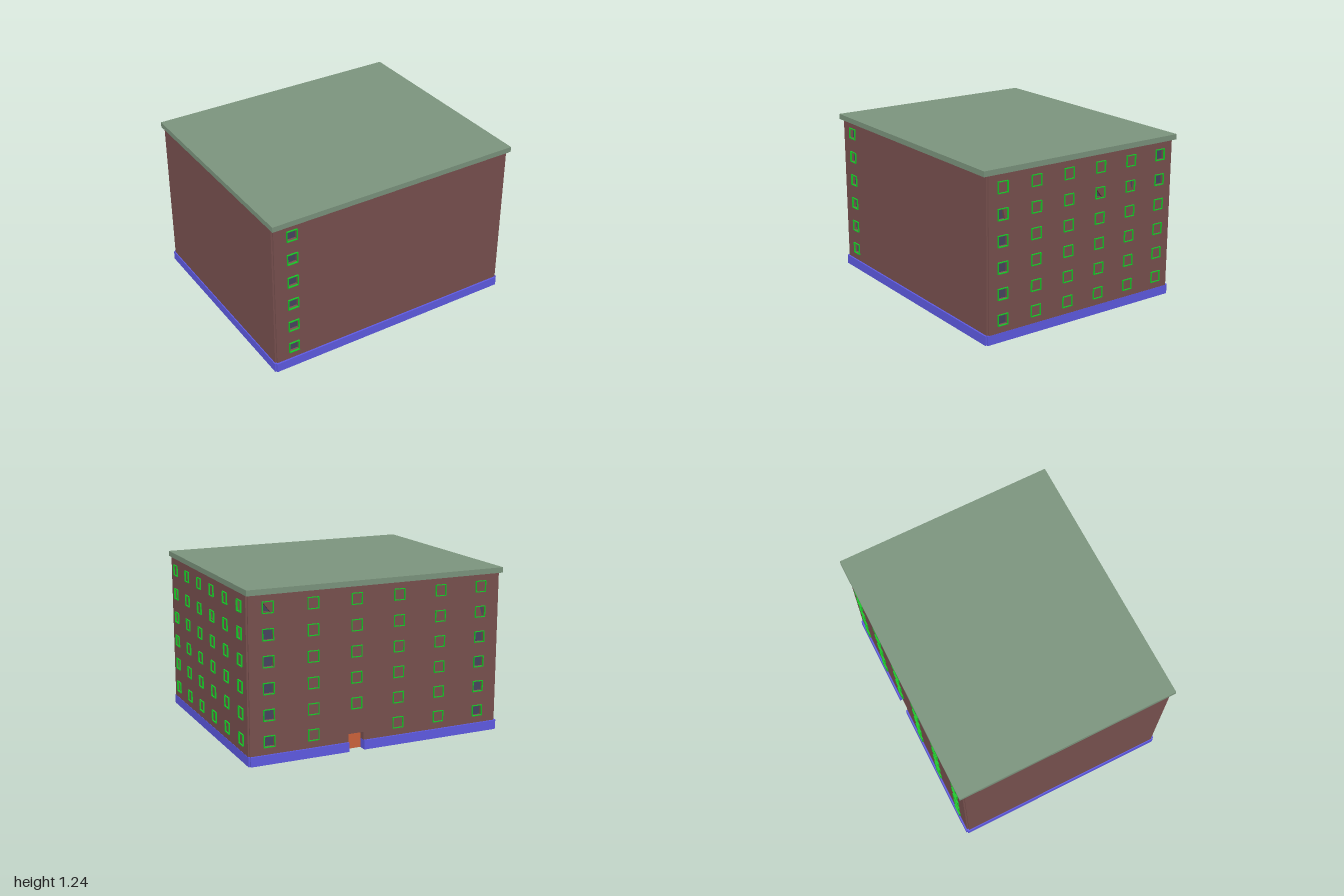
import * as THREE from 'three';

const mat = (color) => new THREE.MeshStandardMaterial({ color, flatShading: true });
const BRICK = mat(0x7a5250), ROOF = mat(0x7d967f), BASE = mat(0x605ce6);
const FRAME = mat(0x18c828), GLASS = mat(0x484660), DOOR = mat(0xd0643c);

const ROWS = [0.165, 0.354, 0.543, 0.732, 0.92, 1.108]; // window centres, bottom to top
const OUT = 0.042, IN = 0.037, THICK = 0.06;
const BOTTOM = 0.07, TOP = 1.205, DOOR_U = -0.17, DOOR_W = 0.06, DOOR_H = 0.13;

const polygon = (points) => new THREE.Shape(points.map(([x, y]) => new THREE.Vector2(x, y)));
const square = (x, y, r) => [[x - r, y - r], [x + r, y - r], [x + r, y + r], [x - r, y + r]];
const extrude = (shape, depth) => new THREE.ExtrudeGeometry(shape, { depth, bevelEnabled: false });

function add(parent, name, geometry, material, x = 0, y = 0, z = 0) {
  const mesh = new THREE.Mesh(geometry, material);
  mesh.name = name;
  mesh.position.set(x, y, z);
  parent.add(mesh);
  return mesh;
}

// Pane openings as fractions of the window square: whole, or partly covered
const FULL = [[0, 0], [1, 0], [1, 1], [0, 1]];
const MOST = [[0, 0], [0.75, 0], [0.55, 1], [0, 1]];
const LOWER = [[0, 0.2], [0.8, 0], [0, 1]];
const RIGHT = [[0.8, 0], [1, 0], [1, 1], [0.5, 1]];

// One facade, outer face at local z = 0; opening(col, row) gives the pane cut-out or null
function facade(name, u0, u1, columns, opening, hasDoor) {
  const group = new THREE.Group();
  group.name = name;
  const outline = [[u0, BOTTOM]];
  if (hasDoor) {
    const a = DOOR_U - DOOR_W, b = DOOR_U + DOOR_W;
    outline.push([a, BOTTOM], [a, DOOR_H], [b, DOOR_H], [b, BOTTOM]);
  }
  outline.push([u1, BOTTOM], [u1, TOP], [u0, TOP]);
  const wall = polygon(outline);

  const frameShape = polygon(square(0, 0, OUT));
  frameShape.holes.push(polygon(square(0, 0, IN)));
  const frameGeometry = extrude(frameShape, 0.014);
  const paneGeometry = new THREE.BoxGeometry(IN * 2 + 0.004, IN * 2 + 0.004, 0.01);

  columns.forEach((u, col) => ROWS.forEach((y, row) => {
    if (hasDoor && row === 0 && Math.abs(u - DOOR_U) < 0.05) return;
    add(group, 'windowFrame', frameGeometry, FRAME, u, y, -0.003);
    const cut = opening(col, row);
    if (!cut) return;
    wall.holes.push(polygon(cut.map(([p, q]) => [u + (p * 2 - 1) * IN, y + (q * 2 - 1) * IN])));
    add(group, 'windowPane', paneGeometry, GLASS, u, y, -0.025);
  }));
  add(group, 'wall', extrude(wall, THICK), BRICK, 0, 0, -THICK);
  return group;
}

export function createModel() {
  const model = new THREE.Group();
  model.name = 'apartmentBlock';

  // Base slab with notched corners and a doorway recess at the back
  const x0 = -1, x1 = 0.99, d = 0.835, n = 0.012;
  const base = polygon([
    [x0 + n, -d], [x1 - n, -d], [x1 - n, n - d], [x1, n - d],
    [x1, d - n], [x1 - n, d - n], [x1 - n, d],
    [-DOOR_U + DOOR_W, d], [-DOOR_U + DOOR_W, d - 0.075],
    [-DOOR_U - DOOR_W, d - 0.075], [-DOOR_U - DOOR_W, d],
    [x0 + n, d], [x0 + n, d - n], [x0, d - n], [x0, n - d], [x0 + n, n - d],
  ]);
  add(model, 'base', extrude(base, BOTTOM).rotateX(-Math.PI / 2), BASE);

  // Front: one column of windows
  const front = facade('frontWall', -0.98, 0.976, [-0.84], () => FULL);
  front.position.z = 0.822;

  // Right-hand end in the front view: full grid of windows, few of them open
  const sideColumns = [-0.698, -0.419, -0.14, 0.139, 0.418, 0.696];
  const side = facade('sideWall', -0.81, 0.81, sideColumns, (col, row) => {
    if (row === 4) return [MOST, null, null, LOWER, RIGHT, FULL][col];
    if (row === 5) return col === 5 ? FULL : null;
    return col === 0 ? FULL : null;
  });
  side.rotation.y = Math.PI / 2;
  side.position.x = 0.988;

  // Back: full grid, with the door below its third column
  const backColumns = [-0.835, -0.502, -0.17, 0.163, 0.496, 0.83];
  const back = facade('backWall', -0.976, 0.98, backColumns, (col, row) => {
    if (col === 0) return row === 5 ? LOWER : FULL;
    if (col === 5) return row === 5 ? null : row === 4 ? RIGHT : FULL;
    return null;
  }, true);
  back.rotation.y = Math.PI;
  back.position.z = -0.822;
  add(back, 'door', new THREE.BoxGeometry(DOOR_W * 2, DOOR_H, 0.02), DOOR, DOOR_U, DOOR_H / 2, -0.062);

  // Blank end wall
  const blank = facade('blankWall', -0.81, 0.81, [], () => null);
  blank.rotation.y = -Math.PI / 2;
  blank.position.x = -0.992;
  model.add(front, side, back, blank);

  // Flat overhanging roof
  add(model, 'roof', new THREE.BoxGeometry(1.995, 0.04, 1.7), ROOF, -0.0025, 1.22, 0);
  return model;
}
